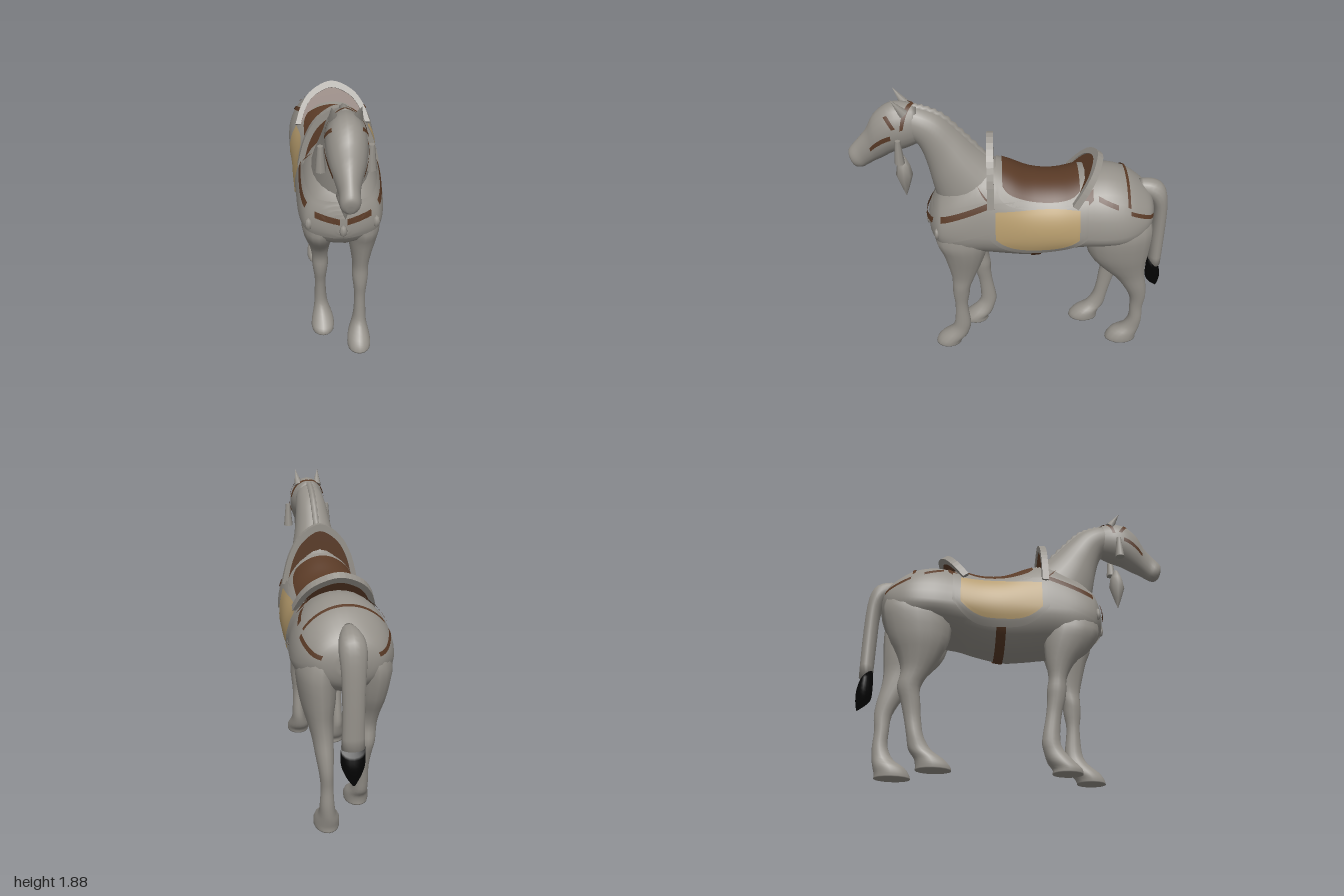
import * as THREE from 'three';

const V = (x, y, z) => new THREE.Vector3(x, y, z);
const mat = (name, color) => {
  const m = new THREE.MeshStandardMaterial({ color, side: THREE.DoubleSide });
  m.name = name;
  return m;
};

// Section keys: [z1, y1, z2, y2, halfWidth, middle fraction, x centre]
const full = k => [k[0], k[1], k[2], k[3], k[4], k[5] ?? 0.5, k[6] ?? 0];
function keyAt(keys, t) {
  const n = keys.length - 1;
  t = Math.min(Math.max(t, 0), n);
  const i = Math.min(Math.floor(t), n - 1), f = t - i;
  const [a, b, c, d] = [i - 1, i, i + 1, i + 2].map(j => full(keys[Math.min(Math.max(j, 0), n)]));
  return b.map((p, j) => p + 0.5 * f * (c[j] - a[j] + f * (2 * a[j] - 5 * p + 4 * c[j] - d[j] + f * (3 * (p - c[j]) + d[j] - a[j]))));
}
// Point on a section; angle 0 is its first end, PI its second
function ringPoint(k, a, off = 0) {
  const [z1, y1, z2, y2, w, m, x] = k;
  const cz = z1 + (z2 - z1) * m, cy = y1 + (y2 - y1) * m, c = Math.cos(a);
  const ez = (c > 0 ? z1 : z2) - cz, ey = (c > 0 ? y1 : y2) - cy;
  const g = Math.abs(c) * (1 + off / (Math.hypot(ez, ey) || 1));
  return V(x + Math.sin(a) * (w + off), cy + ey * g, cz + ez * g);
}
function loft(keys, sub = 3, seg = 16) {
  const pos = [], idx = [], rings = (keys.length - 1) * sub + 1;
  for (let i = 0; i < rings; i++) {
    const k = keyAt(keys, i / sub);
    for (let j = 0; j < seg; j++) pos.push(...ringPoint(k, j / seg * Math.PI * 2).toArray());
  }
  for (let i = 0; i < rings - 1; i++) for (let j = 0; j < seg; j++) {
    const a = i * seg + j, b = i * seg + (j + 1) % seg;
    idx.push(a, b, a + seg, b, b + seg, a + seg);
  }
  for (const [i, flip] of [[0, 0], [rings - 1, 1]]) {
    const k = keyAt(keys, i / sub), c = pos.length / 3;
    pos.push(k[6], (k[1] + k[3]) / 2, (k[0] + k[2]) / 2);
    for (let j = 0; j < seg; j++) {
      const a = i * seg + j, b = i * seg + (j + 1) % seg;
      idx.push(c, flip ? a : b, flip ? b : a);
    }
  }
  // turn the faces outward by the sign of the volume
  let vol = 0;
  const p = i => V(pos[i * 3], pos[i * 3 + 1], pos[i * 3 + 2]);
  for (let i = 0; i < idx.length; i += 3) vol += p(idx[i]).dot(p(idx[i + 1]).cross(p(idx[i + 2])));
  if (vol < 0) idx.reverse();
  return build(pos, idx);
}
function build(pos, idx) {
  const g = new THREE.BufferGeometry();
  g.setAttribute('position', new THREE.Float32BufferAttribute(pos, 3));
  g.setIndex(idx);
  g.computeVertexNormals();
  return g;
}
// Open sheet from f(u, v), wound so that it faces away from the body core
function sheet(f, nu = 24, nv = 10) {
  const pos = [], idx = [];
  for (let i = 0; i <= nu; i++) for (let j = 0; j <= nv; j++) pos.push(...f(i / nu, j / nv).toArray());
  for (let i = 0; i < nu; i++) for (let j = 0; j < nv; j++) {
    const a = i * (nv + 1) + j, b = a + nv + 1;
    idx.push(a, b, a + 1, b, b + 1, a + 1);
  }
  const c = f(0.5, 0.5), n = f(0.55, 0.5).sub(c).cross(f(0.5, 0.55).sub(c));
  if (n.x * c.x + n.y * (c.y - 1.1) < 0) idx.reverse();
  return build(pos, idx);
}
const ribbon = (P, a, b, d, n = 20) => sheet((u, v) =>
  P(a[0] + (b[0] - a[0]) * u + d[0] * (v - 0.5), a[1] + (b[1] - a[1]) * u + d[1] * (v - 0.5)), n, 4);

// Trunk sections: z, top, bottom, half width, height of widest point
const trunk = [
  [0.545, 1.08, 0.97, 0.035, 1.02], [0.53, 1.13, 0.94, 0.11, 1.02], [0.495, 1.21, 0.89, 0.185, 1.02], [0.45, 1.28, 0.84, 0.222, 1.02],
  [0.35, 1.37, 0.78, 0.245, 1.02], [0.2, 1.44, 0.79, 0.255, 1.02], [0.05, 1.395, 0.77, 0.26, 1.02], [-0.1, 1.325, 0.757, 0.265, 1.02],
  [-0.25, 1.31, 0.79, 0.268, 1.02], [-0.4, 1.345, 0.84, 0.28, 1.02], [-0.55, 1.365, 0.86, 0.297, 1.02], [-0.68, 1.335, 0.85, 0.287, 1.03],
  [-0.78, 1.27, 0.87, 0.245, 1.05], [-0.85, 1.2, 0.93, 0.18, 1.07], [-0.88, 1.13, 1.0, 0.08, 1.07]
].map(([z, t, b, w, y]) => [z, t, z, b, w, (t - y) / (t - b)]);
const neck = [[0.0, 1.35, 0.45, 1.06, 0.185], [0.12, 1.43, 0.485, 1.18, 0.17], [0.23, 1.53, 0.51, 1.3, 0.148], [0.33, 1.64, 0.53, 1.41, 0.122],
  [0.43, 1.74, 0.56, 1.52, 0.105], [0.53, 1.79, 0.6, 1.58, 0.095], [0.62, 1.81, 0.7, 1.62, 0.08]];
const head = [[0.57, 1.81, 0.57, 1.57, 0.08], [0.67, 1.83, 0.64, 1.54, 0.108], [0.75, 1.815, 0.73, 1.51, 0.11], [0.83, 1.75, 0.79, 1.475, 0.095],
  [0.88, 1.66, 0.84, 1.45, 0.072], [0.94, 1.59, 0.89, 1.42, 0.056], [0.985, 1.54, 0.92, 1.405, 0.056], [1.0, 1.51, 0.955, 1.405, 0.045], [0.996, 1.475, 0.98, 1.425, 0.02]];

// Trunk section at a given z, and surface points by side (z, y) or top (x, z)
const dense = Array.from({ length: (trunk.length - 1) * 4 + 1 }, (_, i) => keyAt(trunk, i / 4));
function trunkAt(z) {
  let i = 0;
  while (i < dense.length - 2 && dense[i + 1][0] > z) i++;
  const a = dense[i], b = dense[i + 1], f = Math.min(Math.max((z - a[0]) / (b[0] - a[0]), 0), 1);
  return a.map((p, j) => p + (b[j] - p) * f);
}
const sidePoint = (s, off) => (z, y) => {
  const k = trunkAt(z), cy = k[1] + (k[3] - k[1]) * k[5];
  const c = (y - cy) / (y > cy ? k[1] - cy : cy - k[3]);
  const p = ringPoint(k, Math.acos(Math.min(Math.max(c, -1), 1)), off);
  p.x *= s;
  return p;
};
const topPoint = off => (x, z) => {
  const k = trunkAt(z);
  return ringPoint(k, Math.asin(Math.min(Math.max(x / (k[4] + off), -1), 1)), off);
};
// Point on the breast at (x, y), found by walking back until the trunk is wide enough
const breastPoint = off => (x, y) => {
  let z = 0.545;
  while (z > 0.3 && Math.abs(sidePoint(1, 0)(z, y).x) < Math.abs(x)) z -= 0.002;
  return V(x, y, z + off);
};

// Legs: [y, x, half width] shared by a pair, then [front z, back z] per leg
const foreRows = [[0, 0.115, 0.075], [0.03, 0.115, 0.077], [0.07, 0.115, 0.07], [0.13, 0.12, 0.05], [0.2, 0.125, 0.041], [0.35, 0.125, 0.036],
  [0.45, 0.125, 0.045], [0.52, 0.125, 0.052], [0.6, 0.127, 0.052], [0.7, 0.13, 0.068], [0.82, 0.135, 0.092], [0.92, 0.14, 0.1], [1.05, 0.13, 0.09]];
const foreLeft = [[0.56, 0.38], [0.55, 0.37], [0.52, 0.335], [0.45, 0.315], [0.42, 0.31], [0.41, 0.325], [0.42, 0.31], [0.42, 0.3], [0.42, 0.27], [0.44, 0.23], [0.47, 0.19], [0.505, 0.17], [0.49, 0.17]];
const foreRight = [[0.375, 0.19], [0.37, 0.19], [0.33, 0.16], [0.27, 0.14], [0.24, 0.13], [0.25, 0.155], [0.275, 0.165], [0.285, 0.165], [0.29, 0.175], [0.34, 0.16], [0.45, 0.15], [0.505, 0.16], [0.49, 0.17]];
const hindRows = [[0, 0.115, 0.075], [0.03, 0.115, 0.077], [0.07, 0.115, 0.07], [0.12, 0.12, 0.05], [0.2, 0.125, 0.042], [0.3, 0.125, 0.037], [0.4, 0.13, 0.042],
  [0.5, 0.135, 0.053], [0.6, 0.14, 0.063], [0.7, 0.15, 0.08], [0.82, 0.155, 0.105], [1.0, 0.16, 0.115], [1.13, 0.13, 0.08]];
const hindLeft = [[-0.64, -0.86], [-0.65, -0.86], [-0.68, -0.87], [-0.75, -0.88], [-0.79, -0.885], [-0.79, -0.88], [-0.78, -0.89], [-0.73, -0.88], [-0.66, -0.86], [-0.56, -0.855], [-0.47, -0.865], [-0.44, -0.87], [-0.5, -0.83]];
const hindRight = [[-0.4, -0.61], [-0.41, -0.61], [-0.45, -0.62], [-0.52, -0.655], [-0.57, -0.67], [-0.59, -0.69], [-0.6, -0.715], [-0.605, -0.745], [-0.55, -0.73], [-0.49, -0.76], [-0.44, -0.82], [-0.44, -0.865], [-0.5, -0.83]];
const legKeys = (rows, zs, s) => rows.map(([y, x, w], i) => [zs[i][0], y, zs[i][1], y, w, 0.5, s * x]);

// Saddle arch outline
const archPoints = (w, h) => new THREE.SplineCurve([[-1, 0], [-0.82, 0.46], [-0.52, 0.8], [0, 1], [0.52, 0.8], [0.82, 0.46], [1, 0]]
  .map(([x, y]) => new THREE.Vector2(x * w, y * h))).getPoints(24);
const plate = (shape, depth) => new THREE.ExtrudeGeometry(shape, { depth, bevelEnabled: false }).translate(0, 0, -depth / 2);

export function createModel() {
  const horse = new THREE.Group();
  horse.name = 'saddledHorse';
  const grey = mat('grey coat', 0x95918a), brown = mat('brown leather', 0x593a26), tan = mat('tan cloth', 0xb59b6c), black = mat('black hair', 0x030303);
  const add = (name, geo, m, parent = horse) => {
    const mesh = new THREE.Mesh(geo, m);
    mesh.name = name;
    parent.add(mesh);
    return mesh;
  };

  // Animal
  add('trunk', loft(trunk, 4, 36), grey);
  add('neck', loft(neck, 4, 24), grey);
  add('head', loft(head, 3, 20), grey);
  add('leftForeleg', loft(legKeys(foreRows, foreLeft, 1)), grey);
  add('rightForeleg', loft(legKeys(foreRows, foreRight, -1)), grey);
  add('leftHindLeg', loft(legKeys(hindRows, hindLeft, 1)), grey);
  add('rightHindLeg', loft(legKeys(hindRows, hindRight, -1)), grey);
  const crest = new THREE.CatmullRomCurve3([...neck].reverse().slice(0, 6).map(k => V(0, k[1], k[0]))).getPoints(26);
  add('mane', loft(crest.map((p, i) => {
    const h = (i % 2 ? 0.012 : 0.022) * Math.min(1, (26 - i) / 6);
    return [p.z - h * 0.6, p.y + h * 0.8, p.z + 0.03, p.y - 0.04, 0.024];
  }), 1, 8), grey);
  add('tail', loft([[-0.78, 1.27, -0.8, 1.14, 0.05], [-0.87, 1.265, -0.85, 1.13, 0.07], [-0.945, 1.22, -0.88, 1.08, 0.078], [-0.98, 1.1, -0.895, 1.0, 0.07],
    [-0.99, 0.86, -0.9, 0.84, 0.063], [-0.99, 0.6, -0.905, 0.6, 0.066]]), grey);
  add('tailTip', loft([[-0.985, 0.56, -0.905, 0.64, 0.069], [-0.998, 0.5, -0.9, 0.52, 0.069], [-0.995, 0.43, -0.91, 0.45, 0.045], [-0.985, 0.385, -0.975, 0.39, 0.008]]), black);

  // Saddle seat and its pad
  const seat = (hx, hz, off) => sheet((u, v) => {
    const t = v * 2 - 1;
    return topPoint(off)((u * 2 - 1) * hx * (1 - 0.16 * t ** 8), -0.155 + t * hz);
  }, 24, 24);
  add('saddlePad', seat(0.225, 0.27, 0.01), grey);
  add('saddleSeat', seat(0.197, 0.235, 0.016), brown);

  // Pommel and cantle
  for (const [name, y, z, h, tilt] of [['pommel', 1.23, 0.152, 0.385, 0], ['cantle', 1.23, -0.36, 0.285, -0.607]]) {
    const arch = new THREE.Group();
    arch.name = name;
    arch.position.set(0, y, z);
    arch.rotation.x = tilt;
    horse.add(arch);
    const inner = archPoints(0.215, h - 0.045);
    add(name + 'Rim', plate(new THREE.Shape([...archPoints(0.25, h), ...[...inner].reverse()]), 0.042), grey, arch);
    add(name + 'Panel', plate(new THREE.Shape(inner), 0.022), brown, arch);
  }

  for (const s of [1, -1]) {
    const side = s > 0 ? 'left' : 'right';
    const paint = sidePoint(s, 0.008), over = sidePoint(s, 0.019);
    // Side flap with cloth panel
    const flap = (z0, z1, top, low, rise, off) => sheet((u, v) => {
      const e = low + rise * Math.abs(u * 2 - 1) ** 3;
      return sidePoint(s, off)(z0 + (z1 - z0) * u, top + (e - top) * v);
    }, 28, 12);
    add(side + 'Flap', flap(0.17, -0.44, 1.25, 0.885, 0.14, 0.01), grey);
    add(side + 'FlapCloth', flap(0.125, -0.39, 1.2, 0.93, 0.09, 0.016), tan);
    // Breast collar and strap
    add(side + 'BreastCollar', sheet((u, v) => {
      const f = Math.sin(u * Math.PI / 2);
      return sidePoint(s, 0.012)(0.16 + 0.385 * f, (1.27 - 0.11 * f) * (1 - v) + (1.06 - 0.12 * f) * v);
    }, 36, 10), grey);
    add(side + 'BreastStrap', ribbon(over, [0.16, 1.24], [0.46, 1.125], [0, 0.036]), brown);
    add(side + 'FrontStrap', ribbon(breastPoint(0.018), [s * 0.165, 1.1], [s * 0.022, 1.07], [0, 0.04], 14), brown);
    // Straps on shoulder and quarters
    add(side + 'ShoulderPatch', ribbon(paint, [0.22, 1.32], [0.16, 1.25], [0.03, 0.05]), brown);
    add(side + 'CantlePatch', ribbon(paint, [-0.4, 1.22], [-0.47, 1.28], [0, 0.05]), brown);
    add(side + 'QuarterStrap', ribbon(paint, [-0.5, 1.265], [-0.62, 1.22], [0, 0.026]), brown);
    add(side + 'BreechStrap', ribbon(paint, [-0.7, 1.18], [-0.86, 1.105], [0, 0.022]), brown);
    // Bridle
    const cheek = (t, a) => {
      const p = ringPoint(keyAt(head, t), a, 0.006);
      p.x *= s;
      return p;
    };
    add(side + 'CheekStrap', ribbon(cheek, [1.8, 1.66], [3.9, 1.57], [0, 0.19]), brown);
    add(side + 'BrowStrap', ribbon(cheek, [2, 0.75], [1.5, 1.35], [0.28, 0]), brown);
    add(side + 'CrownStrap', ribbon(cheek, [0.3, 0], [1, 1.45], [0.22, 0]), brown);
    // Ear
    const ear = add(side + 'Ear', new THREE.ConeGeometry(0.03, 0.12, 8), grey);
    ear.position.set(s * 0.07, 1.835, 0.675);
    ear.rotation.set(0.6, 0, -s * 0.12);
    // Bridle tassel
    add(side + 'Tassel', new THREE.CylinderGeometry(0.016, 0.031, 0.15, 8), grey).position.set(s * 0.135, 1.575, 0.68);
  }

  // Croup strap and girth
  add('croupStrap', ribbon(topPoint(0.008), [-0.225, -0.685], [0.235, -0.69], [0, 0.018], 30), brown);
  add('girth', sheet((u, v) => ringPoint(trunkAt(-0.16 + 0.06 * v), Math.PI * (0.55 + 0.9 * u), 0.007), 36, 2), brown);

  // Hanging drop and breast pendants
  const drop = [[0, 0], [0.025, 0.07], [0.053, 0.16], [0.04, 0.23], [0.012, 0.29], [0, 0.3]].map(([r, y]) => new THREE.Vector2(r, y));
  add('bridleDrop', new THREE.LatheGeometry(drop, 8), grey).position.set(0, 1.175, 0.68);
  for (const [x, y, z] of [[-0.2, 1.02, 0.49], [0, 1.0, 0.55], [0.2, 1.02, 0.49]]) {
    const pendant = add('breastPendant', new THREE.SphereGeometry(1, 8, 4), grey);
    pendant.position.set(x, y, z);
    pendant.scale.set(0.024, 0.042, 0.018);
  }
  return horse;
}
